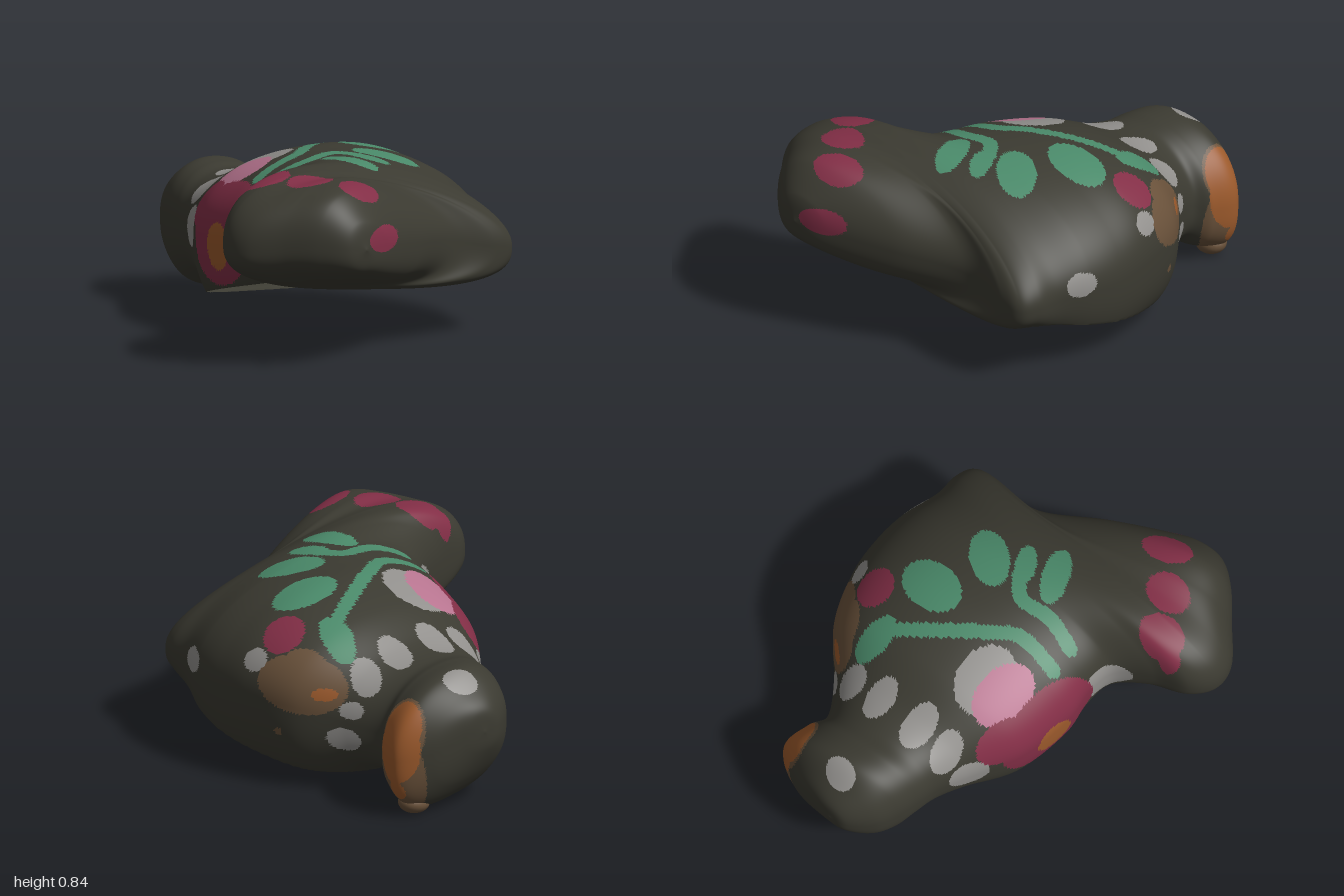
import * as THREE from 'three';
import { mergeVertices } from 'three/addons/utils/BufferGeometryUtils.js';

const material = (name, color) =>
  Object.assign(new THREE.MeshStandardMaterial({ color, side: THREE.DoubleSide }), { name });

// Cross-sections from head to foot:
// left edge x y z, right edge x y z, rise above the edges, drop below them
const SECTIONS = [
  [0.08, 0.39, -0.985, 0.27, 0.38, -0.985, 0.10, 0.10],
  [-0.02, 0.38, -0.90, 0.42, 0.31, -0.94, 0.21, 0.20],
  [-0.07, 0.38, -0.80, 0.55, 0.28, -0.85, 0.29, 0.29],
  [-0.10, 0.38, -0.70, 0.53, 0.28, -0.72, 0.29, 0.26],
  [-0.13, 0.38, -0.60, 0.48, 0.32, -0.63, 0.26, 0.24],
  [-0.20, 0.39, -0.47, 0.56, 0.35, -0.48, 0.27, 0.28],
  [-0.33, 0.42, -0.25, 0.72, 0.40, -0.28, 0.33, 0.45],
  [-0.39, 0.45, 0.00, 0.80, 0.40, -0.05, 0.38, 0.48],
  [-0.39, 0.50, 0.15, 0.82, 0.38, 0.15, 0.37, 0.46],
  [-0.43, 0.54, 0.28, 0.80, 0.38, 0.32, 0.345, 0.40],
  [-0.58, 0.56, 0.37, 0.75, 0.38, 0.48, 0.335, 0.30],
  [-0.74, 0.56, 0.42, 0.74, 0.38, 0.60, 0.335, 0.21],
  [-0.82, 0.54, 0.52, 0.70, 0.38, 0.68, 0.33, 0.19],
  [-0.81, 0.54, 0.64, 0.60, 0.40, 0.70, 0.31, 0.18],
  [-0.70, 0.56, 0.78, 0.35, 0.45, 0.68, 0.29, 0.18],
  [-0.60, 0.57, 0.90, 0.05, 0.50, 0.83, 0.24, 0.16],
  [-0.50, 0.56, 0.98, -0.25, 0.54, 0.96, 0.12, 0.10],
];

// Painted spots: centre x y z, radii x y z, turn in plan
const flat = (x, z, rx, rz, turn = 0) => [x, 0.75, z, rx, 0.36, rz, turn];
const WHITE = [
  [-0.09, 0.58, -0.49, 0.065, 0.13, 0.105, -0.2], flat(0.07, -0.49, 0.075, 0.115),
  flat(0.29, -0.49, 0.07, 0.105), [0.46, 0.57, -0.50, 0.07, 0.11, 0.095, 0.3], flat(0.21, -0.87, 0.09, 0.065, 0.3),
  flat(-0.05, -0.16, 0.13, 0.16), [0.55, 0.27, -0.47, 0.15, 0.055, 0.07, 0],
  [0.55, 0.41, -0.5, 0.1, 0.04, 0.05, 0], [0.77, 0.43, 0.37, 0.1, 0.055, 0.075, 0],
  [-0.21, 0.42, -0.47, 0.07, 0.1, 0.1, 0.4], [-0.41, 0.51, 0.24, 0.12, 0.12, 0.13, 0],
  [0.74, 0.56, -0.06, 0.08, 0.05, 0.06, 0],
];
const PINK = [flat(-0.15, -0.16, 0.11, 0.16, 0.2)];
const MAROON = [
  [-0.36, 0.5, -0.1, 0.15, 0.28, 0.28, 0], [-0.25, 0.6, -0.3, 0.07, 0.2, 0.13, 0.3],
  flat(-0.54, 0.48, 0.11, 0.09), flat(-0.62, 0.43, 0.06, 0.04), flat(-0.44, 0.65, 0.11, 0.09, 0.1),
  [-0.30, 0.78, 0.82, 0.12, 0.1, 0.08, -0.25], [-0.27, 0.58, 0.94, 0.12, 0.06, 0.12, 0],
  [0.61, 0.64, -0.1, 0.1, 0.12, 0.1, 0],
];
const GREEN = [
  flat(0.41, 0.03, 0.155, 0.11, 0.1), flat(0.29, 0.29, 0.15, 0.09, 0.7),
  flat(0.0, 0.4, 0.065, 0.14, -0.4), flat(0.47, -0.3, 0.07, 0.12, 0.1), flat(0.14, 0.36, 0.05, 0.1, -0.5),
];
const BROWN = [
  [0.68, 0.5, -0.31, 0.2, 0.13, 0.23, 0], [0.66, 0.58, -0.32, 0.1, 0.1, 0.14, 0],
  [0.5, 0.2, -0.81, 0.13, 0.24, 0.13, 0], [0.49, 0.42, -0.82, 0.09, 0.17, 0.12, 0],
  [0.72, 0.27, -0.22, 0.08, 0.02, 0.02, 0],
];
const ORANGE = [
  [0.53, 0.33, -0.82, 0.12, 0.16, 0.115, 0], [0.53, 0.44, -0.82, 0.12, 0.14, 0.115, 0],
  [0.65, 0.47, -0.4, 0.12, 0.03, 0.05, 0], [-0.42, 0.4, -0.08, 0.12, 0.12, 0.1, 0],
  [0.52, 0.14, -0.83, 0.08, 0.05, 0.04, 0],
];
// Painted stems in plan
const STEMS = [
  [[-0.25, 0.07], [-0.05, 0.08], [0.08, 0], [0.27, -0.13], [0.43, -0.23]],
  [[-0.25, 0.19], [-0.1, 0.23], [0.05, 0.22], [0.13, 0.3]],
].map(s => new THREE.CatmullRomCurve3(s.map(([x, z]) => new THREE.Vector3(x, 0, z))).getPoints(60));

const inSpot = (p, [x, y, z, rx, ry, rz, turn]) => {
  const dx = p.x - x, dz = p.z - z, c = Math.cos(turn), s = Math.sin(turn);
  return ((dx * c + dz * s) / rx) ** 2 + ((p.y - y) / ry) ** 2 + ((dz * c - dx * s) / rz) ** 2 < 1;
};
const onStem = p => p.y > 0.5 && STEMS.some(s => s.some(q => Math.hypot(p.x - q.x, p.z - q.z) < 0.033));

// Later layers cover earlier ones; the number is the material index
const LAYERS = [[1, WHITE], [2, PINK], [5, BROWN], [3, MAROON], [6, ORANGE], [4, GREEN], [1, WHITE.slice(-1)]];
function paintAt(p) {
  let paint = 0;
  for (const [index, spots] of LAYERS) if (spots.some(s => inSpot(p, s))) paint = index;
  return onStem(p) ? 4 : paint;
}

// Piecewise linear value through [v, value] points, zero outside
function ramp(v, points) {
  for (let i = 1; i < points.length; i++) {
    const [v0, a] = points[i - 1], [v1, b] = points[i];
    if (v >= v0 && v <= v1) return a + (b - a) * (v - v0) / (v1 - v0);
  }
  return 0;
}

// Height of the flat cut that leaves the underside open
const cutHeight = p => 0.18 + 0.235 * p.z - 0.08 * (p.x - 0.2);

function shellGeometry() {
  const rows = [
    [0.17, 0.385, -1, 0.17, 0.385, -1, 0, 0], ...SECTIONS,
    [-0.4, 0.55, 1, -0.4, 0.55, 1, 0, 0],
  ];
  const curve = f => new THREE.CatmullRomCurve3(rows.map(r => new THREE.Vector3(...f(r))), false, 'catmullrom', 0.5);
  const left = curve(r => r.slice(0, 3)), right = curve(r => r.slice(3, 6)), lift = curve(r => [r[6], r[7], 0]);
  const NV = 300, NU = 230, pos = [], pts = [], cut = [], faces = [[], [], [], [], [], [], []];
  for (let i = 0; i <= NV; i++) {
    const t = i / NV, v = t * (rows.length - 1);
    const L = left.getPoint(t), R = right.getPoint(t), h = lift.getPoint(t);
    // The front wall leans back and its top drops toward the right
    const lean = ramp(v, [[11, 0], [12, 0.04], [14, 0.12], [15, 0.1], [17, 0]]);
    const skew = ramp(v, [[10, 0], [13, 0.25], [16, 0.2], [18, 0]]);
    for (let j = 0; j <= NU; j++) {
      const a = THREE.MathUtils.degToRad(-90 + 360 * j / NU);
      const c = Math.cos(a), s = Math.sin(a);
      // Round above, boxier below
      const n = s > 0 ? 2.15 : 2.8;
      const k = (Math.abs(c) ** n + Math.abs(s) ** n) ** (-1 / n);
      const across = 0.5 + 0.5 * c * k, up = s * k;
      const p = L.clone().lerp(R, across);
      p.y += up * Math.max(0, up > 0 ? h.x * (1 - skew * c * k) : h.y);
      if (up > 0) p.z -= lean * across * up * up;
      const below = v > 6 && v < 12.1 && p.y < cutHeight(p);
      if (below) p.y = cutHeight(p);
      cut.push(below);
      pts.push(p);
      pos.push(p.x, p.y, p.z);
    }
  }
  // Leave out the cut faces and sort the rest by paint, one group per colour
  const mid = new THREE.Vector3();
  const face = (a, b, c) => {
    if (cut[a] && cut[b] && cut[c]) return;
    mid.copy(pts[a]).add(pts[b]).add(pts[c]).divideScalar(3);
    faces[paintAt(mid)].push(a, b, c);
  };
  for (let i = 0; i < NV; i++) for (let j = 0; j < NU; j++) {
    const a = i * (NU + 1) + j, b = a + NU + 1;
    face(a, a + 1, b);
    face(a + 1, b + 1, b);
  }
  const geometry = new THREE.BufferGeometry();
  geometry.setAttribute('position', new THREE.Float32BufferAttribute(pos, 3));
  geometry.setIndex(faces.flat());
  const merged = mergeVertices(geometry, 1e-5);
  let start = 0;
  faces.forEach((f, m) => { merged.addGroup(start, f.length, m); start += f.length; });
  merged.computeVertexNormals();
  return merged;
}

export function createModel() {
  const group = new THREE.Group();
  const paints = [
    material('dark clay', 0x3b3a31), material('pale grey', 0x92908d), material('pink', 0xb87590),
    material('maroon', 0x822e46), material('leaf green', 0x4a8a6a), material('brown', 0x69513a),
    material('orange', 0x9c5a2c),
  ];
  // Hollow body with the head, shoulder and foot in one skin
  const shell = new THREE.Mesh(shellGeometry(), paints);
  shell.name = 'paintedShell';
  group.add(shell);

  // Small nub under the face
  const nub = new THREE.Mesh(new THREE.SphereGeometry(1, 24, 16), paints[5]);
  nub.name = 'chinNub';
  nub.scale.set(0.075, 0.05, 0.065);
  nub.position.set(0.425, 0.05, -0.81);
  nub.rotation.z = 0.15;
  group.add(nub);
  return group;
}
